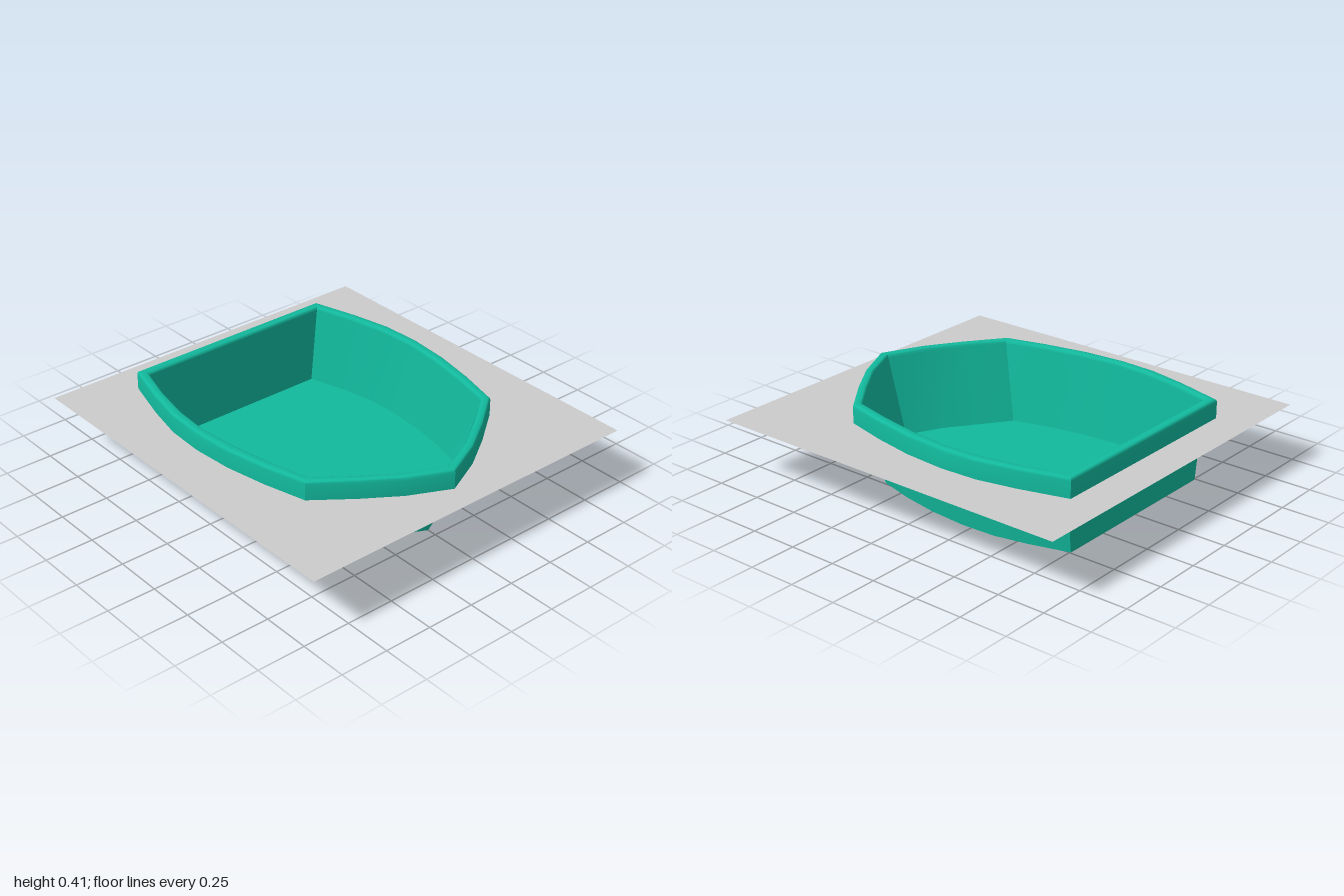
import * as THREE from 'three';
import { toCreasedNormals } from 'three/addons/utils/BufferGeometryUtils.js';

const FLANGE_Y = 0.315, TOP_Y = 0.415, BEVEL = 0.015;

// Half outlines of the shield (x, z) from the back corner to the front tip
const FLOOR = [[0.495, -0.755], [0.553, -0.55], [0.588, -0.38], [0.595, -0.2], [0.58, 0],
  [0.543, 0.2], [0.49, 0.385], [0.345, 0.49], [0.18, 0.61], [0, 0.7]];
const INNER = [[0.54, -0.76], [0.6, -0.55], [0.637, -0.35], [0.65, -0.16], [0.63, 0.05],
  [0.59, 0.27], [0.54, 0.475], [0.375, 0.6], [0.2, 0.72], [0, 0.81]];
const OUTER = [[0.575, -0.81], [0.645, -0.56], [0.687, -0.36], [0.697, -0.16], [0.68, 0.06],
  [0.638, 0.28], [0.58, 0.5], [0.39, 0.645], [0.21, 0.765], [0, 0.865]];

// Full closed outline from a half outline
const mirror = (half) => [...half, ...half.slice(0, -1).reverse().map(([x, z]) => [-x, z])];
const lerp = (a, b, t) => a.map(([x, z], i) => [x + (b[i][0] - x) * t, z + (b[i][1] - z) * t]);
const toPoints = (outline) => outline.map(([x, z]) => new THREE.Vector2(x, -z));

// Skin through a list of { y, outline } rings
function loft(rings) {
  const n = rings[0].outline.length, pos = [], index = [];
  rings.forEach(({ y, outline }) => outline.forEach(([x, z]) => pos.push(x, y, z)));
  for (let k = 0; k < rings.length - 1; k++) {
    for (let i = 0; i < n; i++) {
      const a = k * n + i, b = k * n + (i + 1) % n;
      index.push(a, b, b + n, a, b + n, a + n);
    }
  }
  const g = new THREE.BufferGeometry();
  g.setAttribute('position', new THREE.Float32BufferAttribute(pos, 3));
  g.setIndex(index);
  return toCreasedNormals(g, 0.6);
}

export function createModel() {
  const group = new THREE.Group();
  const teal = new THREE.MeshStandardMaterial({ color: 0x12b99d, side: THREE.DoubleSide });
  const grey = new THREE.MeshStandardMaterial({ color: 0xcccccc, side: THREE.DoubleSide });
  const add = (name, geometry, material) => {
    const mesh = new THREE.Mesh(geometry, material);
    mesh.name = name;
    group.add(mesh);
  };
  const flat = (shape, y) => new THREE.ShapeGeometry(shape).rotateX(-Math.PI / 2).translate(0, y, 0);

  const floor = mirror(FLOOR), inner = mirror(INNER), outer = mirror(OUTER);

  // Basin: flat floor and sloping wall
  add('basinFloor', flat(new THREE.Shape(toPoints(floor)), 0), teal);
  add('basinWall', loft([{ y: 0, outline: floor }, { y: TOP_Y - BEVEL, outline: inner }]), teal);

  // Hollow rim: rounded over the top, then straight down, open below
  const rim = [], steps = 3, edge = 0.28;
  for (let i = 0; i <= steps; i++) {
    const a = (i / steps) * Math.PI / 2;
    rim.push({ y: TOP_Y - BEVEL * (1 - Math.sin(a)), outline: lerp(inner, outer, edge * (1 - Math.cos(a))) });
  }
  for (let i = 0; i <= steps; i++) {
    const a = (i / steps) * Math.PI / 2;
    rim.push({ y: TOP_Y - BEVEL * (1 - Math.cos(a)), outline: lerp(inner, outer, 1 - edge * (1 - Math.sin(a))) });
  }
  rim.push({ y: FLANGE_Y, outline: outer });
  add('rim', loft(rim), teal);

  // Thin surrounding sheet with a cut-out along the rim
  const sheet = new THREE.Shape(toPoints([[-0.945, 1], [0.945, 1], [0.945, -1], [-0.945, -1]]));
  sheet.holes.push(new THREE.Path(toPoints(outer)));
  add('surroundSheet', flat(sheet, FLANGE_Y), grey);

  return group;
}
